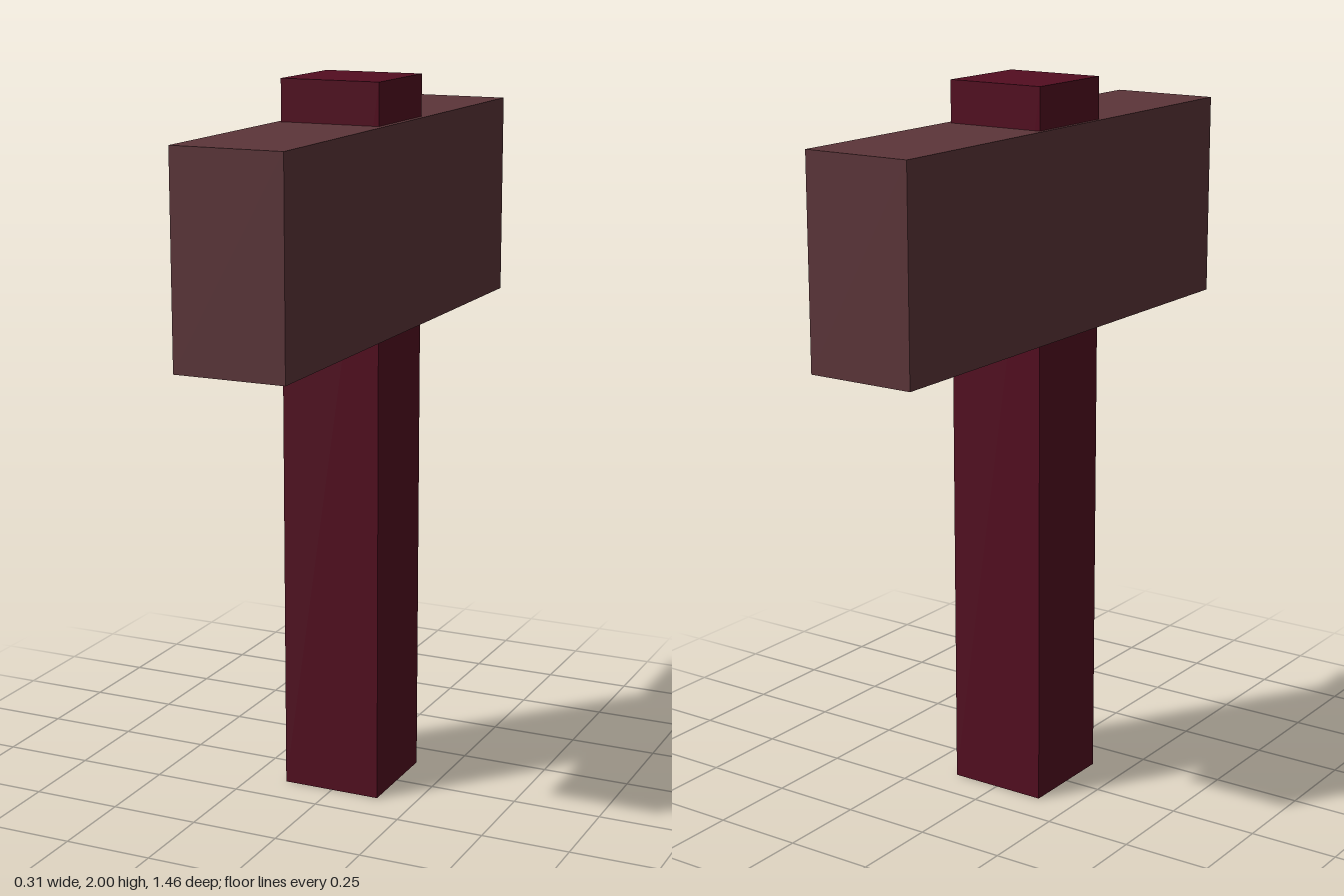
import * as THREE from 'three';

export function createModel() {
  const model = new THREE.Group();
  model.name = 'hammer';

  const handleMaterial = new THREE.MeshStandardMaterial({ color: 0x530d20 });
  handleMaterial.name = 'dark red';
  const headMaterial = new THREE.MeshStandardMaterial({ color: 0x5c3539 });
  headMaterial.name = 'dusty brown';

  const addBox = (name, material, size, position) => {
    const mesh = new THREE.Mesh(new THREE.BoxGeometry(...size), material);
    mesh.name = name;
    mesh.position.set(...position);
    model.add(mesh);
  };

  // Square handle, running right through the head
  addBox('handle', handleMaterial, [0.285, 2, 0.285], [-0.002, 1, -0.002]);
  // Long block head, lying front to back
  addBox('head', headMaterial, [0.312, 0.57, 1.46], [0, 1.6, 0]);

  return model;
}
